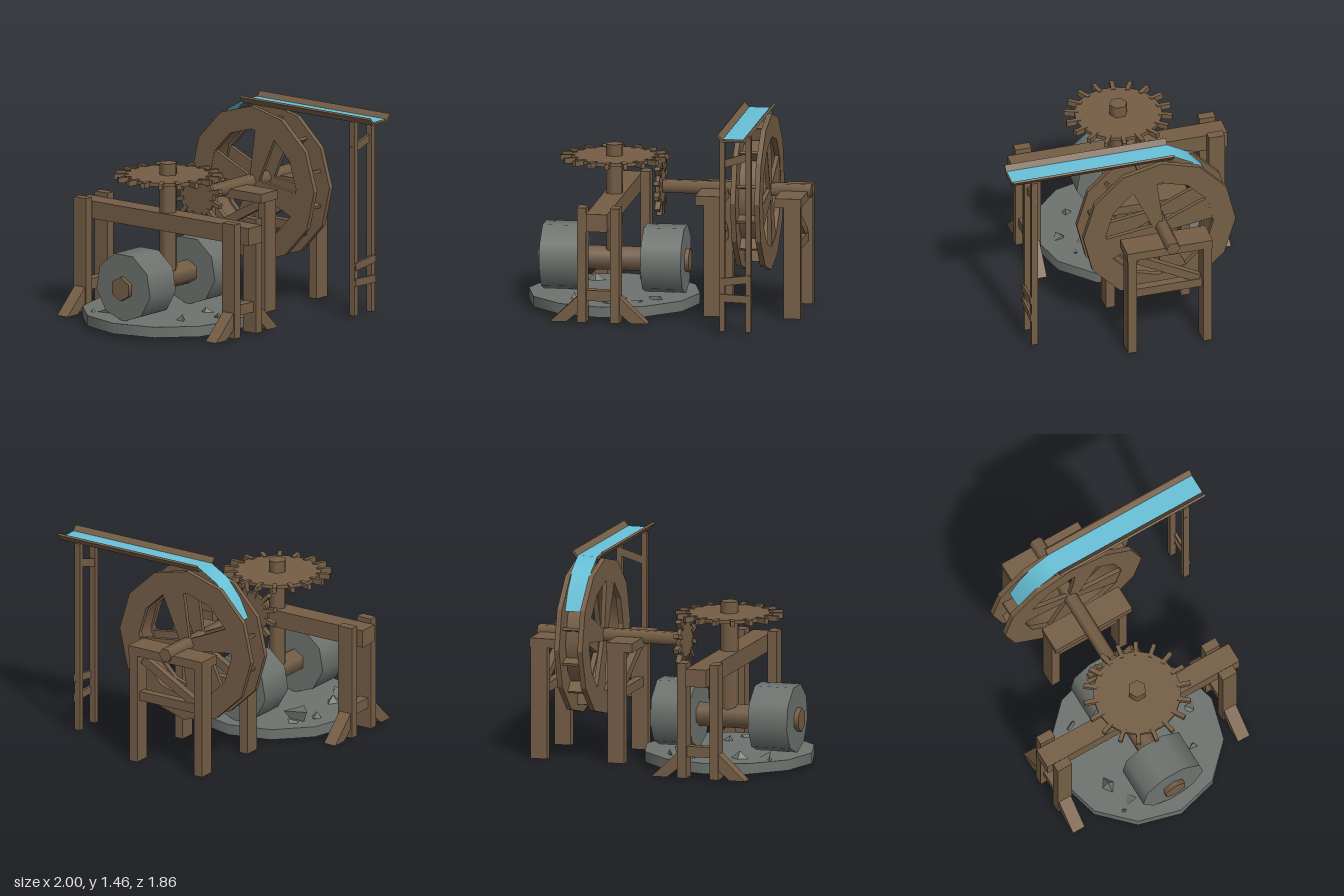
import * as THREE from 'three';

const wood = new THREE.MeshStandardMaterial({ color: 0x755e46 });
wood.name = 'wood';
const stone = new THREE.MeshStandardMaterial({ color: 0x6e736f });
stone.name = 'stone';
const water = new THREE.MeshStandardMaterial({ color: 0x68c1d8, side: THREE.DoubleSide });
water.name = 'water';
const woodSheet = new THREE.MeshStandardMaterial({ color: 0x755e46, side: THREE.DoubleSide });
woodSheet.name = 'wood sheet';

const MILL_X = -0.395, AXIS_Z = -0.155, AXLE_Y = 0.855, WHEEL_X = 0.617;

function add(parent, name, geo, mat = wood) {
  const mesh = new THREE.Mesh(geo, mat);
  mesh.name = name;
  parent.add(mesh);
  return mesh;
}

// Box given by its lower and upper limits on each axis
function box(parent, name, x0, x1, y0, y1, z0, z1) {
  const mesh = add(parent, name, new THREE.BoxGeometry(x1 - x0, y1 - y0, z1 - z0));
  mesh.position.set((x0 + x1) / 2, (y0 + y1) / 2, (z0 + z1) / 2);
  return mesh;
}

// Cylinder lying along x
function rod(parent, name, x0, x1, r, y, z, sides, start = 0, mat = wood) {
  const geo = new THREE.CylinderGeometry(r, r, x1 - x0, sides, 1, false, start).rotateZ(Math.PI / 2);
  const mesh = add(parent, name, geo, mat);
  mesh.position.set((x0 + x1) / 2, y, z);
  return mesh;
}

function polygon(points) {
  return new THREE.Shape(points.map(([x, y]) => new THREE.Vector2(x, y)));
}

function ngon(r, n, turn = 0) {
  return Array.from({ length: n }, (_, i) => {
    const a = turn + (i / n) * Math.PI * 2;
    return [r * Math.cos(a), r * Math.sin(a)];
  });
}

function extrude(shape, depth) {
  return new THREE.ExtrudeGeometry(shape, { depth, bevelEnabled: false }).translate(0, 0, -depth / 2);
}

// Toothed wheel lying flat, axis along y
function gear(name, r, toothEnd, teeth, thick, phase) {
  const g = new THREE.Group();
  g.name = name;
  add(g, name + 'Disc', new THREE.CylinderGeometry(r, r, thick, teeth));
  for (let i = 0; i < teeth; i++) {
    const len = toothEnd - r + 0.03;
    const tooth = add(g, name + 'Tooth', new THREE.BoxGeometry(len, thick + 0.012, 0.03));
    const a = phase + (i / teeth) * Math.PI * 2;
    const d = toothEnd - len / 2;
    tooth.position.set(d * Math.cos(a), 0, d * Math.sin(a));
    tooth.rotation.y = -a;
  }
  return g;
}

function buildMill() {
  const g = new THREE.Group();
  g.name = 'grindingMill';

  // Stone bed
  const bed = add(g, 'stoneBed', new THREE.CylinderGeometry(0.605, 0.605, 0.075, 12, 1, false, Math.PI / 2), stone);
  bed.position.set(MILL_X, 0.0625, AXIS_Z);

  // Rollers on their cross shaft
  rod(g, 'rollerShaft', -0.925, 0.14, 0.086, 0.33, AXIS_Z, 6, Math.PI / 6);
  rod(g, 'leftRoller', -0.175, 0.11, 0.245, 0.338, AXIS_Z, 9, -Math.PI / 2, stone);
  rod(g, 'rightRoller', -0.89, -0.605, 0.245, 0.338, AXIS_Z, 9, -Math.PI / 2, stone);

  // Upright shaft and its gear
  const shaft = add(g, 'uprightShaft', new THREE.CylinderGeometry(0.065, 0.065, 0.845, 6));
  shaft.position.set(MILL_X, 0.7225, AXIS_Z);
  const big = gear('crownGear', 0.308, 0.378, 18, 0.026, 0.157);
  big.position.set(MILL_X, 1.05, AXIS_Z);
  g.add(big);

  // Beam and its trestles
  box(g, 'beam', -0.47, -0.32, 0.67, 0.795, -0.925, 0.63);
  for (const z of [0.508, -0.828]) {
    for (const s of [-1, 1]) {
      const inner = MILL_X + s * 0.085, outer = MILL_X + s * 0.15;
      box(g, 'trestlePost', Math.min(inner, outer), Math.max(inner, outer), 0.01, 0.825, z - 0.058, z + 0.058);
      const pts = [[0.12, 0.22], [0.12, 0.1], [0.228, 0.01], [0.342, 0.01]].map(([x, y]) => [s * x, y]);
      const brace = add(g, 'trestleBrace', extrude(polygon(pts), 0.095));
      brace.position.set(MILL_X, 0, z);
    }
    box(g, 'trestleRung', MILL_X - 0.09, MILL_X + 0.09, 0.16, 0.235, z - 0.035, z + 0.035);
  }

  // Loose rubble, partly sunk through the bed: x, z, size
  const rubble = [[-0.58, -0.5, 0.075], [-0.17, -0.49, 0.12], [-0.8, -0.5, 0.035], [-0.74, -0.42, 0.08],
    [-0.05, 0.1, 0.065], [-0.63, 0.16, 0.065], [-0.3, 0.12, 0.06], [-0.18, 0.23, 0.055],
    [-0.37, 0.28, 0.06], [-0.07, -0.5, 0.06], [-0.25, -0.58, 0.055]];
  rubble.forEach(([x, z, r], i) => {
    const geo = i % 2 ? new THREE.TetrahedronGeometry(r) : new THREE.OctahedronGeometry(r);
    const rock = add(g, 'rubble', geo, stone);
    rock.position.set(x, Math.max(0.085, r * 1.05), z);
    rock.rotation.set(i * 1.7, i * 2.3, i * 0.9);
    rock.scale.set(1.1, 0.9, 0.75);
  });
  return g;
}

function buildWheel() {
  const g = new THREE.Group();
  g.name = 'waterWheel';
  g.position.set(WHEEL_X, 0.84, -0.135);
  const rim = polygon(ngon(0.553, 12, 0.03));
  rim.holes.push(new THREE.Path(ngon(0.39, 12, 0.03).reverse().map(([x, y]) => new THREE.Vector2(x, y))));

  // Two rims with four tapered spokes each
  for (const x of [-0.085, 0.085]) {
    add(g, 'rim', extrude(rim, 0.036).rotateY(-Math.PI / 2)).position.x = x;
    for (let i = 0; i < 4; i++) {
      const spoke = polygon([[0, -0.035], [0.4, -0.093], [0.4, 0.093], [0, 0.035]]);
      const geo = extrude(spoke, 0.03).rotateZ(1.29 + (i * Math.PI) / 2).rotateY(-Math.PI / 2);
      add(g, 'spoke', geo).position.x = x;
    }
  }

  // Drum floor and paddles between the rims
  const drum = new THREE.CylinderGeometry(0.405, 0.405, 0.15, 12, 1, true).rotateZ(Math.PI / 2);
  add(g, 'drum', drum, woodSheet);
  for (let i = 0; i < 12; i++) {
    const geo = new THREE.BoxGeometry(0.15, 0.09, 0.02).translate(0, 0.445, 0);
    add(g, 'paddle', geo).rotation.x = 0.26 + (i * Math.PI) / 6;
  }
  return g;
}

function buildDrive() {
  const g = new THREE.Group();
  g.name = 'wheelDrive';
  rod(g, 'axle', -0.05, 1, 0.051, AXLE_Y, AXIS_Z, 6);
  const pinion = gear('pinion', 0.15, 0.212, 12, 0.026, 0.26);
  pinion.rotation.z = Math.PI / 2;
  pinion.position.set(-0.068, AXLE_Y, AXIS_Z);
  g.add(pinion);

  // Bearing stands either side of the wheel
  for (const [c0, c1, l0, l1] of [[0.227, 0.417, 0.285, 0.405], [0.787, 0.975, 0.85, 0.97]]) {
    box(g, 'standCap', c0, c1, 0.79, 0.855, -0.447, 0.172);
    box(g, 'standLeg', l0, l1, 0, 0.8, 0.1, 0.165);
    box(g, 'standLeg', l0, l1, 0, 0.8, -0.445, -0.38);
    const mid = (l0 + l1) / 2;
    box(g, 'standRail', mid - 0.03, mid + 0.03, 0.45, 0.517, -0.4, 0.12);
    const brace = box(g, 'standBrace', mid - 0.025, mid + 0.025, 0.605, 0.665, -0.39, 0.11);
    brace.rotation.x = -0.5;
  }
  return g;
}

function buildChute() {
  const g = new THREE.Group();
  g.name = 'waterChute';

  // Trough with flared sides
  const half = [[0.08, 1.4], [0.117, 1.445], [0.105, 1.455], [0.07, 1.412]];
  const outline = [...half, ...half.map(([x, y]) => [-x, y]).reverse()];
  add(g, 'trough', extrude(polygon(outline), 1.17)).position.set(WHEEL_X, 0, 0.345);

  // Water sheet running along the trough and down over the paddles
  const path = [[0.925, 1.42], [-0.24, 1.42], [-0.38, 1.34], [-0.48, 1.22], [-0.55, 1.08]];
  const sheet = new THREE.PlaneGeometry(0.145, 1, 1, path.length - 1);
  const p = sheet.attributes.position;
  for (let i = 0; i < p.count; i++) {
    const [z, y] = path[path.length - 1 - Math.floor(i / 2)];
    p.setXYZ(i, WHEEL_X + p.getX(i), y, z);
  }
  sheet.computeVertexNormals();
  add(g, 'waterSheet', sheet, water);

  // Posts and rungs
  box(g, 'chutePost', 0.5, 0.537, 0.025, 1.41, 0.75, 0.795);
  box(g, 'chutePost', 0.685, 0.723, 0.025, 1.41, 0.75, 0.795);
  for (const [y, tilt, z] of [[0.262, -0.03, 0.795], [0.39, 0.13, 0.795], [1.24, 0.3, 0.765]]) {
    const rung = box(g, 'chuteRung', 0.5, 0.723, y - 0.027, y + 0.027, z - 0.01, z + 0.01);
    rung.rotation.z = tilt;
  }
  return g;
}

export function createModel() {
  const model = new THREE.Group();
  model.name = 'waterMill';
  model.add(buildMill(), buildWheel(), buildDrive(), buildChute());
  return model;
}
